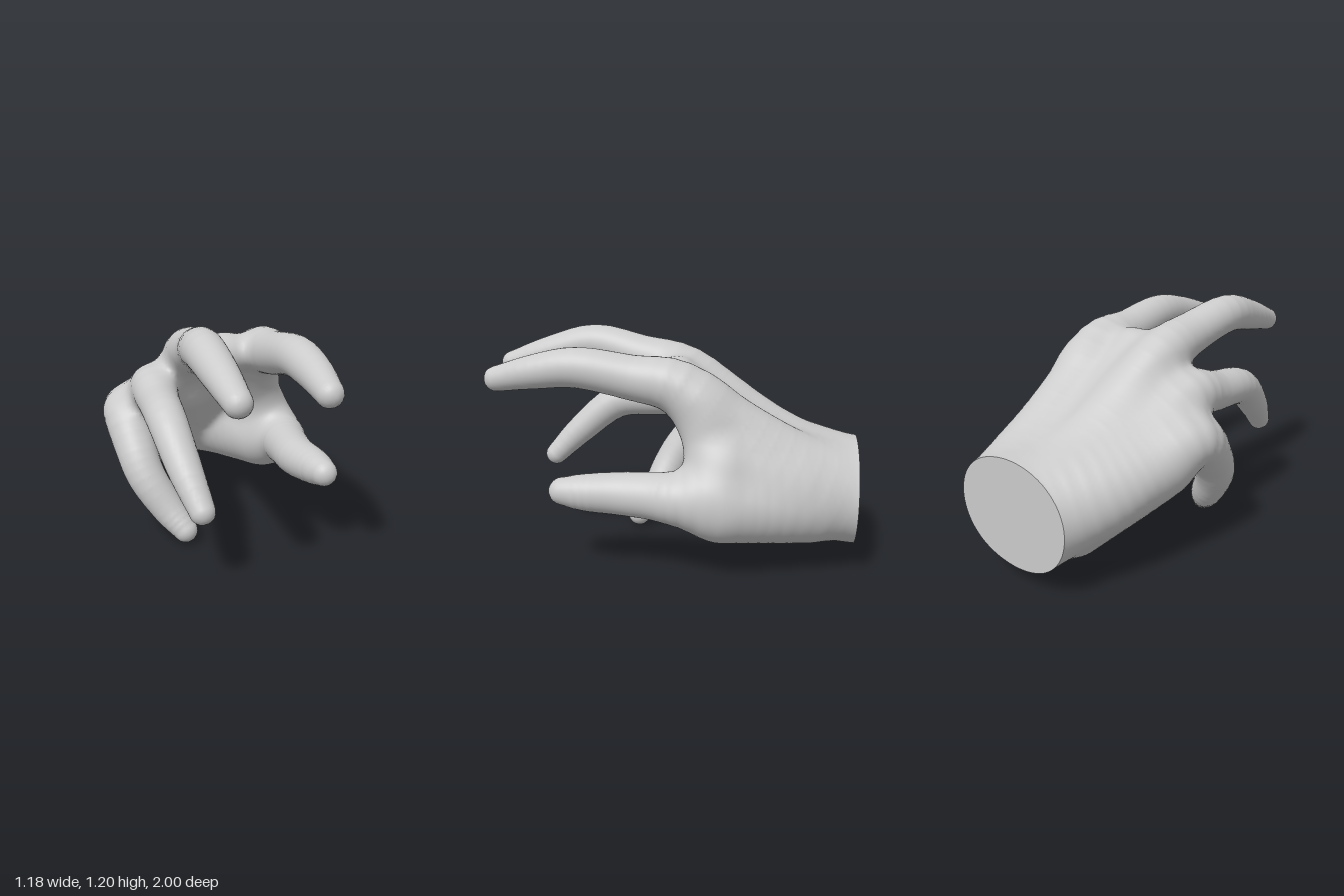
import * as THREE from 'three';
import { mergeVertices } from 'three/addons/utils/BufferGeometryUtils.js';

// Each digit: where it leaves the wrist, its thickness, and its joints from knuckle to tip
const digits = {
  indexFinger: { wristX: 0.13, girth: 1.04, joints: [
    [0.27, 0.95, -0.1], [0.27, 1, 0.15], [0.28, 1.045, 0.43], [0.285, 1.02, 0.65], [0.275, 0.975, 0.865]] },
  middleFinger: { wristX: 0, girth: 1.03, joints: [
    [-0.14, 0.965, -0.08], [-0.155, 1.045, 0.18], [-0.19, 1.105, 0.45], [-0.18, 1.055, 0.7], [-0.165, 0.985, 0.935]] },
  ringFinger: { wristX: -0.06, girth: 0.98, joints: [
    [-0.33, 0.79, -0.1], [-0.345, 0.77, 0.13], [-0.35, 0.735, 0.37], [-0.315, 0.57, 0.58], [-0.27, 0.415, 0.735]] },
  littleFinger: { wristX: -0.11, girth: 1.03, joints: [
    [-0.46, 0.63, -0.22], [-0.45, 0.48, -0.04], [-0.41, 0.335, 0.06], [-0.31, 0.17, 0.14], [-0.235, 0.07, 0.22]] },
  thumb: { wristX: 0.06, girth: 1.1, joints: [
    [0.42, 0.42, -0.17], [0.41, 0.425, 0.02], [0.4, 0.425, 0.2], [0.425, 0.43, 0.37], [0.435, 0.435, 0.485]] },
};
const jointRadii = [0.133, 0.11, 0.1, 0.086, 0.064];

// Flesh of the palm
const pads = [
  { from: [-0.13, 0.245, -0.72], to: [-0.36, 0.5, -0.34], radius: 0.14 }, // little finger side
  { from: [0.2, 0.355, -0.72], to: [0.37, 0.385, -0.33], radius: 0.19 }, // ball of the thumb
  { from: [-0.05, 0.45, -0.64], to: [-0.1, 0.74, -0.28], radius: 0.14 }, // middle of the palm
  { from: [0.05, 0.6, -0.5], to: [0.06, 0.965, -0.05], radius: 0.112 }, // between first two knuckles
  { from: [0.4, 0.49, -0.28], to: [0.27, 0.85, -0.2], radius: 0.112 }, // thumb web
  { from: [0.25, 0.5, -0.66], to: [0.35, 0.6, -0.35], radius: 0.12 }, // back of the thumb web
];

// Smooth a row of [x, y, z, radius] and cut it into short tapered segments
function segmentsOf(points, partOf) {
  const path = new THREE.CatmullRomCurve3(points.map(([x, y, z]) => new THREE.Vector3(x, y, z)), false, 'catmullrom');
  const girth = new THREE.CatmullRomCurve3(points.map((p) => new THREE.Vector3(p[3], 0, 0)), false, 'catmullrom');
  const cuts = 4, count = (points.length - 1) * cuts, list = [];
  for (let i = 0; i < count; i++) {
    const a = path.getPoint(i / count), d = path.getPoint((i + 1) / count).sub(a);
    const r = girth.getPoint(i / count).x;
    list.push({
      part: partOf(i / cuts), x: a.x, y: a.y, z: a.z, dx: d.x, dy: d.y, dz: d.z,
      inv: 1 / d.lengthSq(), r, dr: girth.getPoint((i + 1) / count).x - r,
    });
  }
  return list;
}

// A digit's bone runs through the wrist, fans out across the palm, then follows its joints
function digitSegments([name, { wristX, girth, joints }]) {
  const [kx, ky, kz] = joints[0], wristY = 0.39, wristZ = -0.95, wristRadius = 0.228;
  const fan = (t, radius) => [
    THREE.MathUtils.lerp(wristX, kx, t ** 0.8),
    THREE.MathUtils.lerp(wristY, ky, t ** 1.25),
    THREE.MathUtils.lerp(wristZ, kz, t), radius * girth];
  const points = [
    [wristX, wristY, wristZ - 0.2, wristRadius], [wristX, wristY, wristZ, wristRadius],
    fan(0.35, 0.19), fan(0.67, 0.16),
    ...joints.map((p, i) => [...p, jointRadii[i] * girth])];
  return segmentsOf(points, (i) => (i < 4 ? 'palm' : name));
}

const chains = [
  ...Object.entries(digits).map(digitSegments),
  ...pads.map(({ from, to, radius }) => segmentsOf([[...from, radius], [...to, radius]], () => 'palm')),
];

function segmentDistance(s, x, y, z) {
  const px = x - s.x, py = y - s.y, pz = z - s.z;
  const t = Math.min(1, Math.max(0, (px * s.dx + py * s.dy + pz * s.dz) * s.inv));
  const ex = px - s.dx * t, ey = py - s.dy * t, ez = pz - s.dz * t;
  return Math.sqrt(ex * ex + ey * ey + ez * ez) - s.r - s.dr * t;
}

// Distance to the skin: bones melt softly into each other
const BLEND = 0.105;
function skin(x, y, z) {
  let f = 1;
  for (const chain of chains) {
    let d = 1;
    for (const s of chain) d = Math.min(d, segmentDistance(s, x, y, z));
    const h = Math.max(BLEND - Math.abs(f - d), 0) / BLEND;
    f = Math.min(f, d) - h * h * BLEND / 4;
  }
  return f;
}

function skinNormal({ x, y, z }) {
  const e = 0.008;
  return new THREE.Vector3(
    skin(x + e, y, z) - skin(x - e, y, z),
    skin(x, y + e, z) - skin(x, y - e, z),
    skin(x, y, z + e) - skin(x, y, z - e)).normalize();
}

function partAt({ x, y, z }) {
  let best = Infinity, part;
  for (const chain of chains) for (const s of chain) {
    const d = segmentDistance(s, x, y, z);
    if (d < best) { best = d; part = s.part; }
  }
  return part;
}

export function createModel() {
  // Sample the skin on a grid; the first layer lies behind the wrist cut
  const step = 0.02, size = [70, 74, 107], origin = [-0.7, -0.1, -1 - step / 2];
  const stride = [1, size[0], size[0] * size[1]];
  const values = new Float32Array(stride[2] * size[2]);
  let n = 0;
  for (let k = 0; k < size[2]; k++) for (let j = 0; j < size[1]; j++) for (let i = 0; i < size[0]; i++) {
    values[n++] = k === 0 ? step / 2 : skin(origin[0] + i * step, origin[1] + j * step, origin[2] + k * step);
  }

  // One vertex per grid cell, pulled exactly onto the skin
  const cells = new Map();
  function vertexOf(id) {
    if (cells.has(id)) return cells.get(id);
    const at = [id % size[0], Math.floor(id / stride[1]) % size[1], Math.floor(id / stride[2])];
    const sum = [0, 0, 0];
    let hits = 0, front = 0;
    for (let a = 0; a < 3; a++) for (let q = 0; q < 4; q++) {
      const b = (a + 1) % 3, c = (a + 2) % 3, ob = q & 1, oc = q >> 1;
      const start = id + ob * stride[b] + oc * stride[c];
      const v0 = values[start], v1 = values[start + stride[a]];
      if (a === 2 && v1 < 0) front++;
      if ((v0 < 0) === (v1 < 0)) continue;
      sum[a] += v0 / (v0 - v1);
      sum[b] += ob;
      sum[c] += oc;
      hits++;
    }
    const p = new THREE.Vector3(...sum.map((s, a) => origin[a] + (at[a] + s / hits) * step));
    const onCut = at[2] === 0;
    if (onCut) p.z = -1;
    // Vertices inside the wrist cut stay put; its rim slides only within the cut
    for (let i = 0; i < 4 && !(onCut && front === 4); i++) {
      const g = skinNormal(p);
      if (onCut) g.setZ(0).normalize();
      p.addScaledVector(g, -skin(p.x, p.y, p.z));
    }
    const vertex = { p, normal: skinNormal(p), part: partAt(p) };
    cells.set(id, vertex);
    return vertex;
  }

  // Join the four cells around every grid edge that crosses the skin
  const parts = {};
  const back = new THREE.Vector3(0, 0, -1);
  for (let k = 0; k < size[2] - 1; k++) for (let j = 1; j < size[1] - 1; j++) for (let i = 1; i < size[0] - 1; i++) {
    const id = i + j * stride[1] + k * stride[2];
    for (let a = 0; a < 3; a++) {
      const inside = values[id] < 0;
      if (inside === (values[id + stride[a]] < 0)) continue;
      const sb = stride[(a + 1) % 3], sc = stride[(a + 2) % 3];
      const quad = [id - sb - sc, id - sc, id, id - sb].map(vertexOf);
      if (!inside) quad.reverse();
      const cut = a === 2 && k === 0;
      const part = parts[cut ? 'wristCut' : quad[0].part] ??= { position: [], normal: [] };
      for (const c of [0, 1, 2, 0, 2, 3]) {
        part.position.push(...quad[c].p);
        part.normal.push(...(cut ? back : quad[c].normal));
      }
    }
  }

  // One named mesh per part of the hand
  const hand = new THREE.Group();
  hand.name = 'hand';
  const material = new THREE.MeshStandardMaterial({ color: 0xcccccc });
  for (const [name, part] of Object.entries(parts)) {
    const geometry = new THREE.BufferGeometry();
    geometry.setAttribute('position', new THREE.Float32BufferAttribute(part.position, 3));
    geometry.setAttribute('normal', new THREE.Float32BufferAttribute(part.normal, 3));
    const mesh = new THREE.Mesh(mergeVertices(geometry, 1e-5), material);
    mesh.name = name;
    hand.add(mesh);
  }
  return hand;
}
